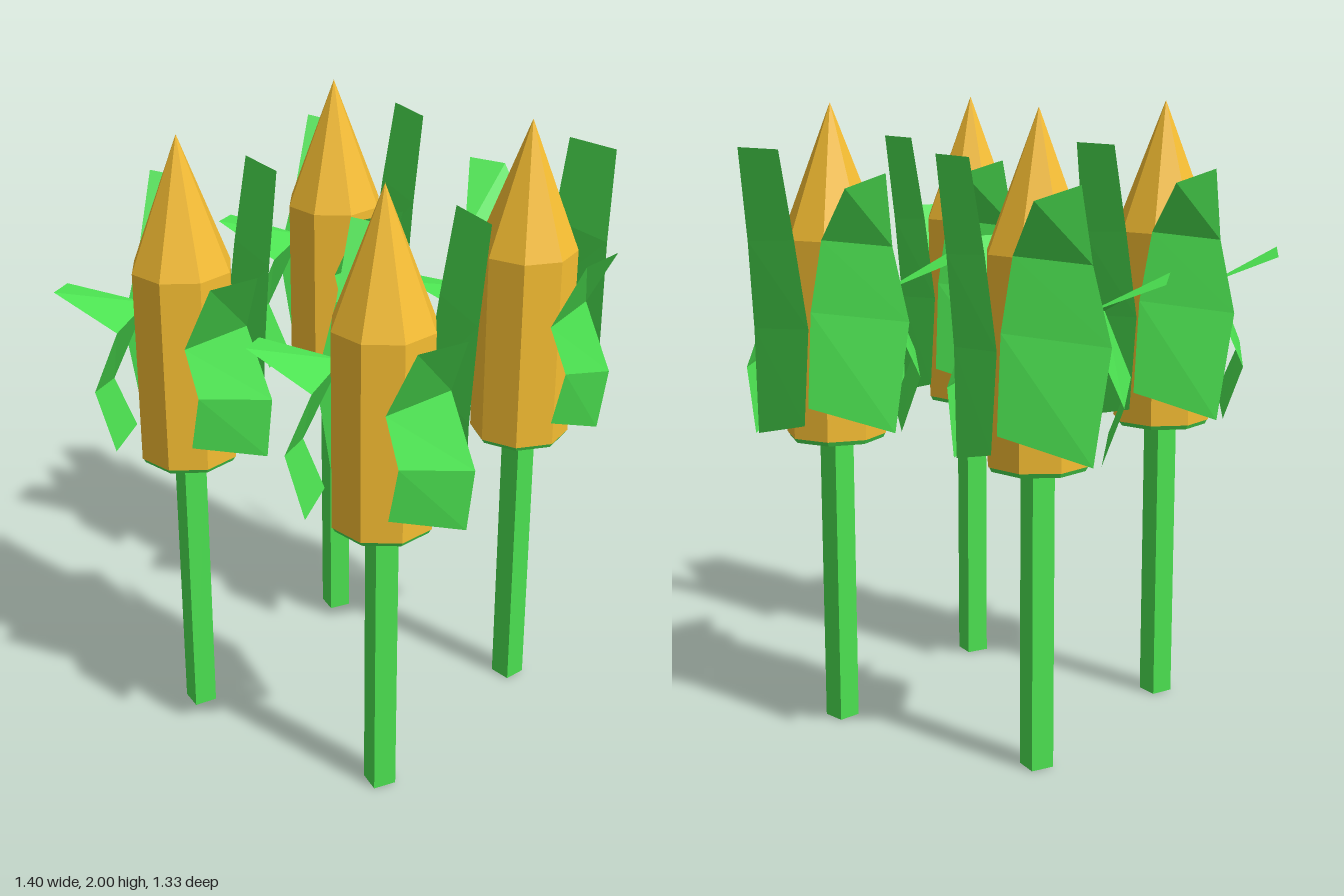
import * as THREE from 'three';

const green = new THREE.MeshStandardMaterial({ color: 0x4be050, flatShading: true, side: THREE.DoubleSide });
const yellow = new THREE.MeshStandardMaterial({ color: 0xf5bd32, flatShading: true });

// Each leaf: rows from tip to base, giving its two edge points
const LEAVES = {
  backLeaf: [
    [[0.05, 1.87, -0.28], [0.22, 1.87, -0.2]],
    [[0.02, 1.6, -0.25], [0.22, 1.58, -0.15]],
    [[-0.02, 1.33, -0.25], [0.23, 1.3, -0.1]],
    [[0, 1.03, -0.25], [0.23, 0.96, -0.09]],
  ],
  backSideLeaf: [
    [[-0.25, 1.8, -0.18], [-0.16, 1.76, -0.28]],
    [[-0.23, 1.57, -0.08], [-0.06, 1.6, -0.23]],
    [[-0.26, 1.33, -0.02], [-0.02, 1.38, -0.23]],
    [[-0.22, 0.98, -0.05], [0, 1.08, -0.22]],
  ],
  sideLeaf: [
    [[0.29, 1.61, 0.01], [0.23, 1.61, 0.165]],
    [[0.18, 1.4, -0.08], [0.13, 1.4, 0.17]],
    [[0.27, 1.17, -0.08], [0.19, 1.26, 0.19]],
    [[0.24, 0.96, -0.09], [0.15, 1.08, 0.18]],
  ],
  droopingLeaf: [
    [[-0.35, 1.5, 0.13], [-0.3, 1.52, 0.25]],
    [[-0.17, 1.42, -0.03], [-0.12, 1.4, 0.18]],
    [[-0.28, 1.15, 0.02], [-0.19, 1.2, 0.22]],
    [[-0.23, 0.98, -0.02], [-0.11, 1.02, 0.23]],
  ],
};

// Strip folded across at every row
function leafGeometry(rows) {
  const index = [];
  for (let p = 0; p < 2 * (rows.length - 1); p += 2) index.push(p, p + 2, p + 1, p + 1, p + 2, p + 3);
  const geometry = new THREE.BufferGeometry();
  geometry.setAttribute('position', new THREE.Float32BufferAttribute(rows.flat(2), 3));
  geometry.setIndex(index);
  geometry.computeVertexNormals();
  return geometry;
}

function addPart(parent, name, geometry, material, y = 0, turn = 0) {
  const mesh = new THREE.Mesh(geometry, material);
  mesh.name = name;
  mesh.position.y = y;
  mesh.rotation.y = turn;
  parent.add(mesh);
}

function createStalk() {
  const stalk = new THREE.Group();
  // Square stem
  addPart(stalk, 'stem', new THREE.BoxGeometry(0.075, 0.96, 0.075), green, 0.48, -0.49);
  // Eight-sided cob with pointed top and green base
  addPart(stalk, 'cob', new THREE.CylinderGeometry(0.16, 0.16, 0.625, 8), yellow, 1.2725, 0.22);
  addPart(stalk, 'cobTip', new THREE.ConeGeometry(0.16, 0.415, 8), yellow, 1.7925, 0.22);
  addPart(stalk, 'cobBase', new THREE.CylinderGeometry(0.158, 0.15, 0.015, 8), green, 0.953, 0.22);
  // Husk leaves
  for (const [name, rows] of Object.entries(LEAVES)) addPart(stalk, name, leafGeometry(rows), green);
  return stalk;
}

export function createModel() {
  const model = new THREE.Group();
  model.name = 'cornPatch';
  // x, z and turn of every stalk
  const places = [[-0.35, -0.38, 0], [0.41, -0.38, 0.28], [-0.35, 0.39, 0.08], [0.41, 0.39, 0]];
  places.forEach(([x, z, turn], i) => {
    const stalk = createStalk();
    stalk.name = `cornStalk${i + 1}`;
    stalk.position.set(x, 0, z);
    stalk.rotation.y = turn;
    model.add(stalk);
  });
  return model;
}
